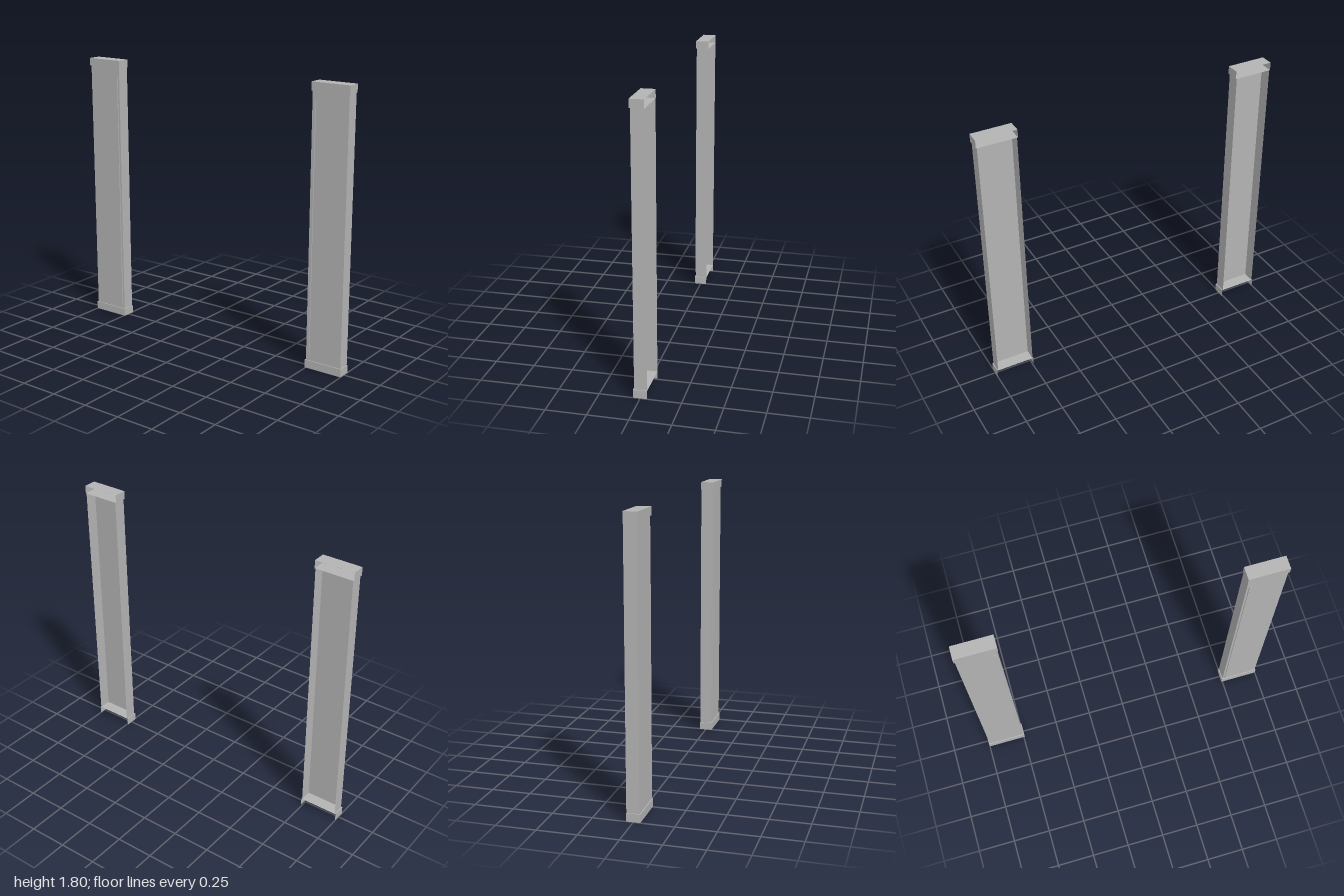
import * as THREE from 'three';

const grey = new THREE.MeshStandardMaterial({ color: 0xb3b3b3, side: THREE.DoubleSide });
grey.name = 'plain grey';

const HEIGHT = 1.8, BAND = 0.052, DEPTH = 0.043, STEP = 0.006;
const MID = 0.871, HALF = 0.129; // centre and half width of one pillar

function plate(name, w, h, x, y, z, rx = 0, ry = 0) {
  const mesh = new THREE.Mesh(new THREE.PlaneGeometry(w, h), grey);
  mesh.name = name;
  mesh.position.set(x, y, z);
  mesh.rotation.set(rx, ry, 0);
  return mesh;
}

// Front and two side walls, open at the back
function channel(name, half, front, y0, y1) {
  const group = new THREE.Group();
  group.name = name;
  const h = y1 - y0, y = (y0 + y1) / 2, d = front + DEPTH, z = (front - DEPTH) / 2;
  group.add(plate(name + 'Front', half * 2, h, 0, y, front));
  for (const s of [-1, 1]) {
    group.add(plate(name + 'Side', d, h, s * half, y, z, 0, s * Math.PI / 2));
  }
  return group;
}

function pillar(side) {
  const group = new THREE.Group();
  group.name = side > 0 ? 'leftPillar' : 'rightPillar';
  group.position.x = side * MID;

  group.add(channel('shaft', HALF - STEP, DEPTH - STEP, BAND, HEIGHT - BAND));
  group.add(channel('base', HALF, DEPTH, 0, BAND));
  group.add(channel('cap', HALF, DEPTH, HEIGHT - BAND, HEIGHT));

  // Horizontal plates closing the cap and the top of the base
  const levels = { baseLedge: BAND, capLedge: HEIGHT - BAND, capTop: HEIGHT };
  for (const [name, y] of Object.entries(levels)) {
    group.add(plate(name, HALF * 2, DEPTH * 2, 0, y, 0, -Math.PI / 2));
  }

  // Slim raised strip beside the inner edge
  const strip = new THREE.Mesh(new THREE.BoxGeometry(0.01, 1.61, STEP), grey);
  strip.name = 'trimStrip';
  strip.position.set(-side * 0.104, 0.885, DEPTH - STEP / 2);
  group.add(strip);
  return group;
}

export function createModel() {
  const model = new THREE.Group();
  model.name = 'pillarPair';
  model.add(pillar(-1), pillar(1));
  return model;
}
